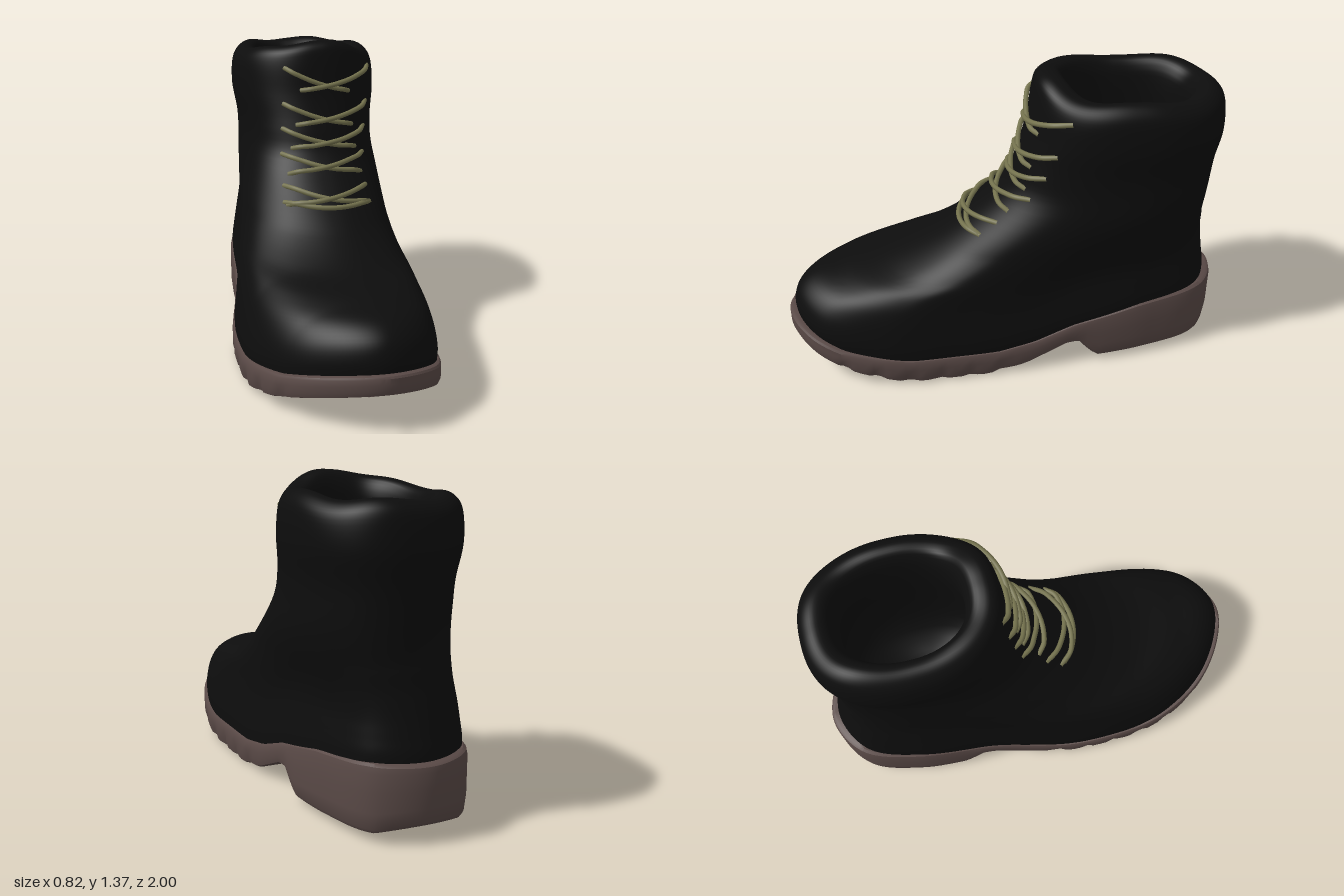
import * as THREE from 'three';
import { toCreasedNormals } from 'three/addons/utils/BufferGeometryUtils.js';

const SEG = 180;
const { lerp, clamp, smoothstep } = THREE.MathUtils;
const material = (color) => new THREE.MeshStandardMaterial({ color, side: THREE.DoubleSide });

// Plan outline of the foot as x, z, from the toe round by +x to the heel and back
const outline = new THREE.CatmullRomCurve3([
  [0.08, 1], [0.3, 0.88], [0.4, 0.6], [0.39, 0.2], [0.34, -0.25], [0.29, -0.65], [0.19, -0.92],
  [-0.02, -1], [-0.22, -0.9], [-0.31, -0.65], [-0.34, -0.25], [-0.41, 0.2], [-0.37, 0.6], [-0.2, 0.87],
].map(([x, z]) => new THREE.Vector3(x, 0, z)), true);

// Lookup of y by z, from [z, y] pairs in falling z
function profile(pairs) {
  return (z) => {
    let i = 0;
    while (i < pairs.length - 2 && z < pairs[i + 1][0]) i++;
    const [[z0, y0], [z1, y1]] = [pairs[i], pairs[i + 1]];
    return lerp(y0, y1, clamp((z - z0) / (z1 - z0), 0, 1));
  };
}
const soleTop = profile([[1, 0.25], [0.75, 0.175], [0.45, 0.13], [0.05, 0.13],
  [-0.12, 0.16], [-0.3, 0.225], [-0.6, 0.295], [-0.9, 0.325]]);
const soleBottom = profile([[1, 0.165], [0.7, 0.055], [0.47, 0.005], [0.1, 0], [-0.08, 0.035],
  [-0.28, 0.125], [-0.34, 0.12], [-0.38, 0.06], [-0.43, 0.025], [-0.92, 0.045], [-1, 0.08]]);

// Joins closed rings of points into one surface
function loft(ringCount, pointAt) {
  const pos = [], index = [];
  for (let j = 0; j < ringCount; j++) {
    for (let i = 0; i < SEG; i++) {
      pos.push(...pointAt(i / SEG, j));
      if (j === ringCount - 1) continue;
      const a = j * SEG + i, b = j * SEG + (i + 1) % SEG;
      index.push(a, b, b + SEG, a, b + SEG, a + SEG);
    }
  }
  const g = new THREE.BufferGeometry();
  g.setAttribute('position', new THREE.Float32BufferAttribute(pos, 3));
  g.setIndex(index);
  g.computeVertexNormals();
  return g;
}

// Sole rings: width scale and height share, from the bottom round to the top
function soleGeometry() {
  const rings = [[0, 0], [0.95, 0], [0.98, 0.06], [1, 0.3], [1, 0.6], [1, 0.88], [0.985, 0.97], [0.95, 1], [0, 1]];
  return toCreasedNormals(loft(rings.length, (u, j) => {
    const [k, h] = rings[j];
    const p = outline.getPoint(u);
    // notches between the lugs of the forefoot
    const forefoot = p.z > -0.08 && p.z < 0.85 ? 1 : 0;
    const notch = 0.03 * forefoot * (1 - smoothstep(h, 0.2, 0.6)) * smoothstep(Math.sin(p.z * 44), 0.2, 0.7);
    const zScale = Math.max(0.983, 1 - (1 - k) * 0.35);
    return [p.x * k * (1 - notch), lerp(soleBottom(p.z), soleTop(p.z), h), p.z * zScale];
  }), 0.6);
}

// Upper rings: front z, front y, back z, back y, half width; over the rim and down inside
const upperRows = [
  [0.96, 0.22, -0.96, 0.29, 0.395],
  [0.97, 0.3, -0.96, 0.36, 0.4],
  [0.94, 0.385, -0.95, 0.42, 0.39],
  [0.86, 0.45, -0.94, 0.48, 0.375],
  [0.72, 0.485, -0.93, 0.54, 0.36],
  [0.52, 0.51, -0.92, 0.6, 0.345],
  [0.35, 0.565, -0.915, 0.66, 0.335],
  [0.22, 0.65, -0.91, 0.72, 0.33],
  [0, 0.84, -0.92, 0.88, 0.315],
  [-0.06, 0.98, -0.93, 0.99, 0.315],
  [-0.1, 1.12, -0.95, 1.12, 0.335],
  [-0.12, 1.24, -0.94, 1.24, 0.33],
  [-0.14, 1.3, -0.91, 1.29, 0.3],
  [-0.19, 1.32, -0.86, 1.305, 0.255],
  [-0.25, 1.29, -0.81, 1.27, 0.215],
  [-0.27, 1.15, -0.79, 1.15, 0.2],
  [-0.2, 0.65, -0.8, 0.65, 0.2],
  [-0.45, 0.5, -0.46, 0.5, 0.01],
];

// Smooth row between the listed ones
function rowAt(t) {
  const n = upperRows.length - 1, i = Math.min(Math.floor(t), n - 1), f = t - i;
  const at = (k) => upperRows[clamp(k, 0, n)];
  return upperRows[0].map((_, c) => {
    const [a, b, d, e] = [at(i - 1)[c], at(i)[c], at(i + 1)[c], at(i + 2)[c]];
    return b + 0.5 * f * (d - a + f * (2 * a - 5 * b + 4 * d - e + f * (3 * (b - d) + e - a)));
  });
}

function upperGeometry() {
  const steps = 5, count = (upperRows.length - 1) * steps + 1;
  const rows = Array.from({ length: count }, (_, j) => rowAt(j / steps));
  const soft = (v) => Math.sign(v) * Math.abs(v) ** 0.85;
  return loft(count, (u, j) => {
    const [zf, yf, zb, yb, halfWidth] = rows[j];
    // rings change from the foot outline to the shaft's oval as they rise
    const level = j > 10 * steps ? 1 : yb;
    const blend = smoothstep(level, 0.46, 0.85), sag = 1 - smoothstep(level, 0.36, 0.7);
    const a = u * Math.PI * 2, p = outline.getPoint(u);
    const s = lerp((p.z + 1) / 2, (soft(Math.cos(a)) + 1) / 2, blend);
    const x = 0.042 * blend + halfWidth * lerp(p.x / 0.41, soft(Math.sin(a)), blend);
    const z = lerp(zb, zf, s);
    const y = lerp(yb, yf, s) + sag * (soleTop(z) - lerp(0.33, 0.25, s));
    // raised tongue and uneven rim
    const rim = smoothstep(y, 1.12, 1.3);
    return [x, y + rim * (0.045 * Math.max(0, Math.cos(a)) ** 4 + 0.008 * Math.sin(5 * a)), z];
  });
}

// Crossing strands as x, y of both ends, one pair per eyelet height
function laceStrands() {
  const strands = [1.25, 1.09, 0.98, 0.87, 0.75].flatMap((y, k) => [
    [-0.11 - 0.01 * k, y, 0.19 + 0.01 * k, y - 0.11 + 0.01 * k],
    [0.31 - 0.02 * k, y - 0.01, -0.04 - 0.027 * k, y - 0.1 + 0.008 * k],
  ]);
  return [...strands, [-0.16, 0.69, 0.23, 0.68]];
}

function buildLaces(upper) {
  const laces = new THREE.Group();
  laces.name = 'laces';
  const mat = material(0x75734e);
  const ray = new THREE.Raycaster();
  const forward = new THREE.Vector3(0, 0, -1);
  laceStrands().forEach(([x0, y0, x1, y1], k) => {
    const points = [];
    for (let i = 0; i <= 8; i++) {
      const t = i / 8, arch = Math.sin(Math.PI * t);
      ray.set(new THREE.Vector3(lerp(x0, x1, t), lerp(y0, y1, t) - 0.015 * arch, 2), forward);
      const [hit] = ray.intersectObject(upper);
      // ends dip into the leather, crossings lie over one another
      const lift = i % 8 === 0 ? -0.006 : 0.012 + (k % 2) * 0.012 * arch;
      points.push(hit.point.addScaledVector(hit.face.normal, lift));
    }
    const lace = new THREE.Mesh(new THREE.TubeGeometry(new THREE.CatmullRomCurve3(points), 40, 0.0115, 8), mat);
    lace.name = 'lace';
    laces.add(lace);
  });
  return laces;
}

export function createModel() {
  const boot = new THREE.Group();
  boot.name = 'boot';
  const sole = new THREE.Mesh(soleGeometry(), material(0x5a4a47));
  sole.name = 'sole';
  const upper = new THREE.Mesh(upperGeometry(), material(0x0d0d0d));
  upper.name = 'upper';
  boot.add(sole, upper, buildLaces(upper));
  return boot;
}
